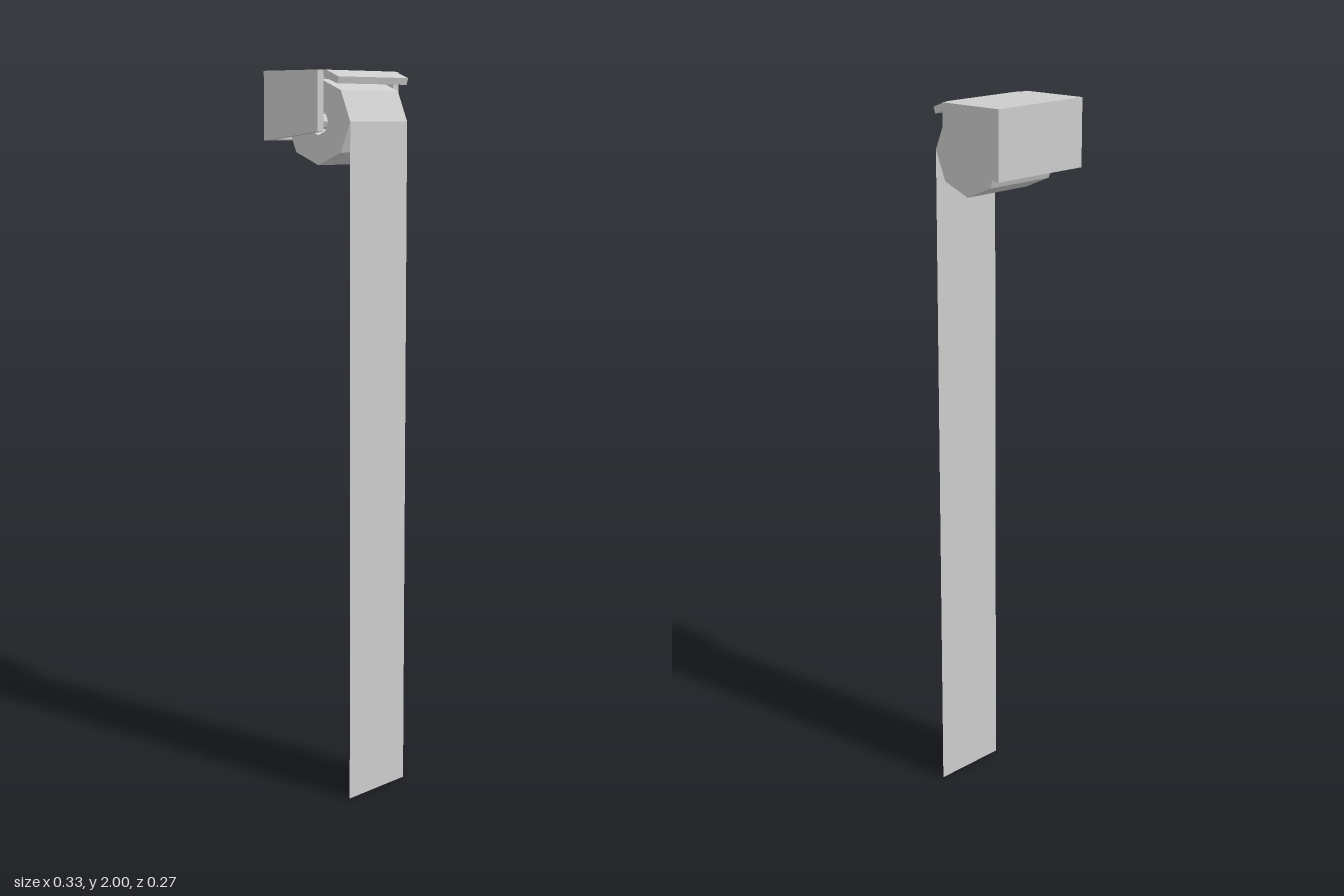
import * as THREE from 'three';

const material = new THREE.MeshStandardMaterial({ color: 0xcccccc, flatShading: true, side: THREE.DoubleSide });

// Regular polygon as [z, y] points, first corner pointing forward
function polygon(z, y, radius, sides) {
  return Array.from({ length: sides }, (_, i) => {
    const a = (i / sides) * Math.PI * 2;
    return [z + radius * Math.cos(a), y + radius * Math.sin(a)];
  });
}

// Side profile of [z, y] points, extruded across x and centred on the given x
function sideProfile(name, points, width, x = 0, hole = null) {
  const toVectors = (list) => list.map(([z, y]) => new THREE.Vector2(z, y));
  const shape = new THREE.Shape(toVectors(points));
  if (hole) shape.holes.push(new THREE.Path(toVectors(hole)));
  const geometry = new THREE.ExtrudeGeometry(shape, { depth: width, bevelEnabled: false });
  geometry.translate(0, 0, -width / 2).rotateY(-Math.PI / 2);
  const mesh = new THREE.Mesh(geometry, material);
  mesh.name = name;
  mesh.position.x = x;
  return mesh;
}

export function createModel() {
  const model = new THREE.Group();
  model.name = 'paperDispenser';

  const front = 0.062, back = -0.135, top = 2, wall = 0.023;
  const halfWidth = 0.163, innerWidth = 2 * (halfWidth - wall);
  const rollZ = 0.02, rollY = 1.866, rollRadius = 0.115, paperWidth = 0.23;

  // Housing: open at the front and underneath, with sloping lower side edges
  const housing = new THREE.Group();
  housing.name = 'housing';
  const sideOutline = [[front, top], [back, top], [back, 1.815], [front, 1.84]];
  for (const side of [-1, 1]) {
    housing.add(sideProfile(side > 0 ? 'leftWall' : 'rightWall', sideOutline, wall, side * (halfWidth - wall / 2)));
  }
  housing.add(sideProfile('topAndBackWall', [
    [front, top], [back, top], [back, 1.815], [back + wall, 1.818],
    [back + wall, top - wall], [front, top - wall],
  ], innerWidth));
  model.add(housing);

  // Sloping lip along the front of the top
  model.add(sideProfile('frontLip', [
    [0.05, top], [0.07, top], [0.117, 1.982], [0.111, 1.964], [0.06, 1.983], [0.05, 1.983],
  ], innerWidth));

  // Spindle between the side walls
  model.add(sideProfile('spindle', polygon(rollZ, rollY, 0.02, 8), innerWidth));

  // Eight-sided paper roll with a hollow core
  model.add(sideProfile('paperRoll', polygon(rollZ, rollY, rollRadius, 8), paperWidth, 0,
    polygon(rollZ, rollY, 0.036, 8)));

  // Long sheet hanging from the front of the roll
  const sheet = new THREE.Mesh(new THREE.PlaneGeometry(paperWidth, rollY), material);
  sheet.name = 'hangingSheet';
  sheet.position.set(0, rollY / 2, rollZ + rollRadius);
  model.add(sheet);

  return model;
}
